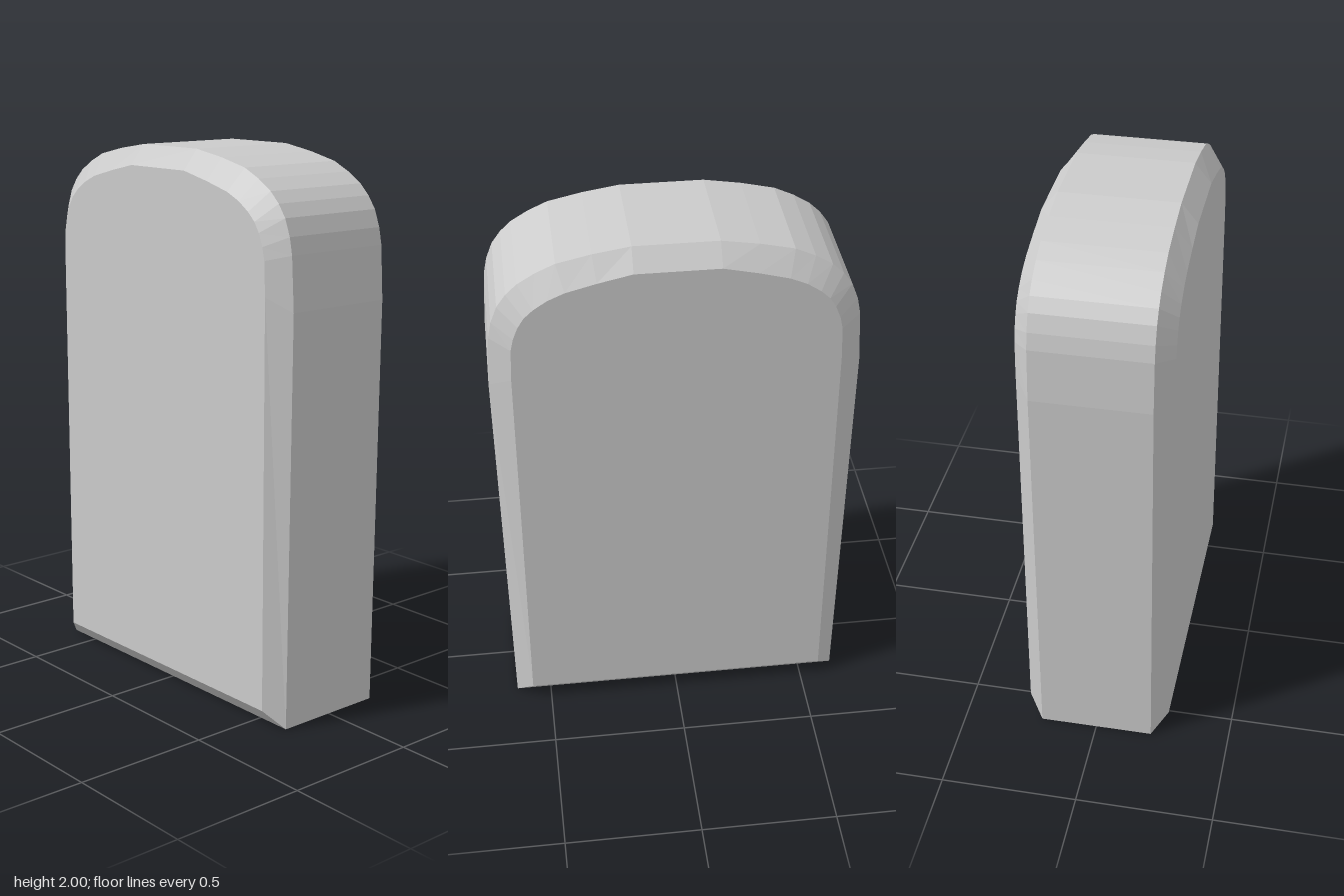
import * as THREE from 'three';

// Right half of the outline, bottom to top: [outer x, outer y, inner x, inner y]
const HALF = [
  [0.632, 0, 0.57, 0.065],
  [0.648, 1.49, 0.57, 1.54],
  [0.637, 1.68, 0.565, 1.66],
  [0.625, 1.74, 0.555, 1.705],
  [0.602, 1.80, 0.537, 1.75],
  [0.57, 1.845, 0.515, 1.785],
  [0.53, 1.883, 0.483, 1.815],
  [0.47, 1.92, 0.435, 1.847],
  [0.40, 1.952, 0.376, 1.873],
  [0.28, 1.979, 0.27, 1.901],
  [0.148, 2, 0.148, 1.928],
];

// Full counter-clockwise loop at depth z, mirrored across x = 0
function ring(offset, z) {
  const right = HALF.map((p) => new THREE.Vector3(p[offset], p[offset + 1], z));
  const left = right.map((p) => new THREE.Vector3(-p.x, p.y, z)).reverse();
  return [...right, ...left];
}

function slabGeometry() {
  const rings = [ring(2, -0.268), ring(0, -0.21), ring(0, 0.21), ring(2, 0.268)];
  const n = rings[0].length;
  const points = [];

  // Back bevel, rim and front bevel
  for (let r = 0; r < rings.length - 1; r++) {
    const a = rings[r], b = rings[r + 1];
    for (let i = 0; i < n; i++) {
      const j = (i + 1) % n;
      points.push(a[i], a[j], b[j], a[i], b[j], b[i]);
    }
  }

  // Flat back and front faces
  const back = rings[0], front = rings[3];
  for (let i = 1; i < n - 1; i++) {
    points.push(front[0], front[i], front[i + 1]);
    points.push(back[0], back[i + 1], back[i]);
  }

  const geometry = new THREE.BufferGeometry().setFromPoints(points);
  geometry.computeVertexNormals();
  return geometry;
}

export function createModel() {
  const group = new THREE.Group();
  group.name = 'roundedSlab';
  const material = new THREE.MeshStandardMaterial({ color: 0xcccccc, flatShading: true });
  const slab = new THREE.Mesh(slabGeometry(), material);
  slab.name = 'bevelledSlab';
  group.add(slab);
  return group;
}
